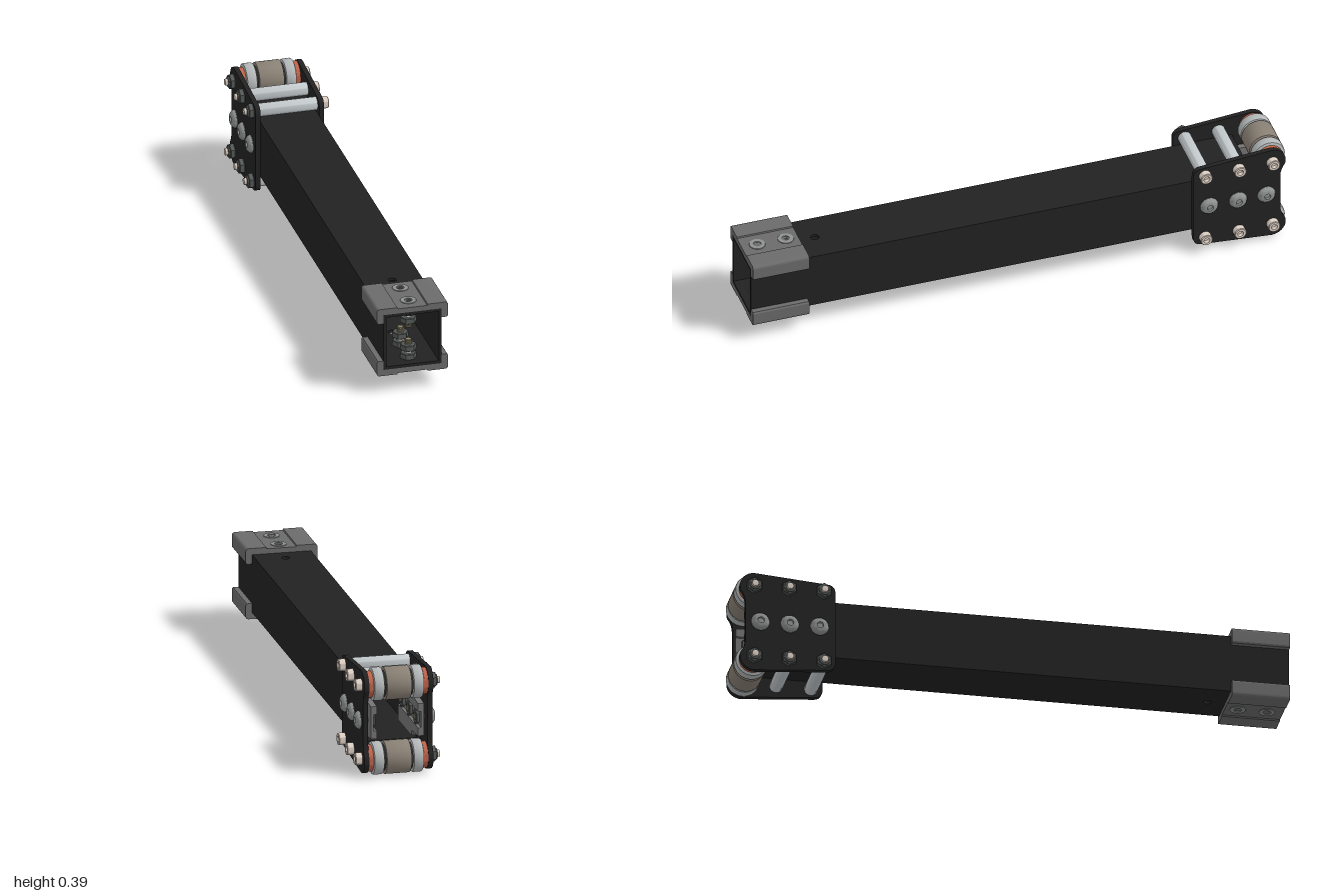
import * as THREE from 'three';
import { toCreasedNormals } from 'three/addons/utils/BufferGeometryUtils.js';

const mat = (color, side = THREE.FrontSide) => new THREE.MeshStandardMaterial({ color, side });
const M = {
  black: mat(0x222222), cap: mat(0x6b6b6b), bracket: mat(0x747474), nut: mat(0x555a58),
  steel: mat(0x8e9290), bolt: mat(0xddd0c4), spacer: mat(0xc4cacd), bearing: mat(0xb4b8b9),
  roller: mat(0x8a8175), washer: mat(0xc0634a), thread: mat(0x8a8468), dark: mat(0x303030),
};

function add(parent, name, geo, material, x = 0, y = 0, z = 0) {
  const m = new THREE.Mesh(geo, material);
  m.name = name;
  m.position.set(x, y, z);
  parent.add(m);
  return m;
}

// Lathe with sharp edges kept, spun around y
const lathe = (pts, seg = 32) =>
  toCreasedNormals(new THREE.LatheGeometry(pts.map(p => new THREE.Vector2(...p)), seg), 0.6);
const alongX = g => g.rotateZ(-Math.PI / 2);

// Closed cylinder with small rounded edges, centred on y = 0
const drum = (r, h, e = 0.004) => lathe([[0, -h / 2], [r - e, -h / 2], [r - e * 0.3, -h / 2 + e * 0.3],
  [r, -h / 2 + e], [r, h / 2 - e], [r - e * 0.3, h / 2 - e * 0.3], [r - e, h / 2], [0, h / 2]]);

// Bolt head with a socket recess, base on y = 0
const socketHead = (r, h) => lathe([[0, 0], [r, 0], [r, h * 0.9], [r - h * 0.1, h],
  [r * 0.5, h], [r * 0.5, h * 0.4], [0, h * 0.4]]);
const buttonHead = (r, h) => lathe([[0, 0], [r, 0], [r, h * 0.12], [r * 0.93, h * 0.45], [r * 0.78, h * 0.78],
  [r * 0.58, h], [r * 0.35, h], [r * 0.35, h * 0.4], [0, h * 0.4]]);

// Hexagonal nut with a bore, centred on y = 0
function nutGeo(r, h, bore) {
  const s = new THREE.Shape();
  for (let i = 0; i < 6; i++) {
    const a = i * Math.PI / 3;
    s[i ? 'lineTo' : 'moveTo'](r * Math.cos(a), r * Math.sin(a));
  }
  s.closePath();
  s.holes.push(new THREE.Path().absarc(0, 0, bore, 0, Math.PI * 2, true));
  return new THREE.ExtrudeGeometry(s, { depth: h - 0.004, bevelEnabled: true, bevelThickness: 0.002,
    bevelSize: 0.002, bevelOffset: -0.002, bevelSegments: 1, curveSegments: 10 })
    .translate(0, 0, -(h - 0.004) / 2).rotateX(-Math.PI / 2);
}

// Ridged thread, centred on y = 0
function threadGeo(r, h) {
  const n = Math.round(h / 0.006), pts = [[0, -h / 2]];
  for (let i = 0; i <= n; i++) {
    pts.push([r * 0.85, -h / 2 + h * i / n]);
    if (i < n) pts.push([r, -h / 2 + h * (i + 0.5) / n]);
  }
  pts.push([0, h / 2]);
  return lathe(pts, 20);
}

// Outline drawn with u = -z; extruded thickness ends up along x
const sideExtrude = (s, t) => new THREE.ExtrudeGeometry(s, { depth: t, bevelEnabled: false, curveSegments: 16 })
  .translate(0, 0, -t / 2).rotateY(Math.PI / 2);

const H = 0.1075, WALL = 0.011, BOLT_Y = 0.137, TUBE_BACK = 0.865;

function squareTube() {
  const g = new THREE.Group();
  g.name = 'squareTube';
  const len = 1 + TUBE_BACK, midZ = (1 - TUBE_BACK) / 2;
  for (const s of [1, -1]) {
    add(g, 'tubeSideWall', new THREE.BoxGeometry(WALL, 2 * H, len), M.black, s * (H - WALL / 2), 0, midZ);
    const wall = new THREE.Shape([[-H + WALL, -1], [H - WALL, -1], [H - WALL, TUBE_BACK], [-H + WALL, TUBE_BACK]]
      .map(p => new THREE.Vector2(...p)));
    wall.holes.push(new THREE.Path().absarc(0, -0.727, 0.015, 0, Math.PI * 2, true));
    const geo = new THREE.ExtrudeGeometry(wall, { depth: WALL, bevelEnabled: false, curveSegments: 16 })
      .translate(0, 0, -WALL / 2).rotateX(-Math.PI / 2);
    add(g, 'tubeDrilledWall', geo, M.black, 0, s * (H - WALL / 2), 0);
  }
  return g;
}

// Channel-shaped clamp over the front end, with its two countersunk bolts
function endClamp() {
  const g = new THREE.Group();
  g.name = 'endClamp';
  const W = 0.131, T = 0.131, B = 0.073, r = 0.012;
  const s = new THREE.Shape();
  s.moveTo(-W + 0.004, B);
  s.lineTo(-H, B); s.lineTo(-H, H); s.lineTo(H, H); s.lineTo(H, B); s.lineTo(W - 0.004, B);
  s.lineTo(W, B + 0.006); s.lineTo(W, T - r); s.quadraticCurveTo(W, T, W - r, T);
  s.lineTo(0.056, T); s.lineTo(0.054, T - 0.005); s.lineTo(-0.054, T - 0.005); s.lineTo(-0.056, T);
  s.lineTo(-W + r, T); s.quadraticCurveTo(-W, T, -W, T - r); s.lineTo(-W, B + 0.006);
  s.closePath();
  add(g, 'clampChannel', toCreasedNormals(new THREE.ExtrudeGeometry(s, { depth: 0.21, bevelEnabled: false }), 0.5),
    M.cap, 0, 0, 0.79);
  for (const z of [0.836, 0.942]) {
    add(g, 'clampBoltHead', socketHead(0.029, 0.006), M.steel, 0, 0.1225, z);
    add(g, 'clampBoltSocket', drum(0.012, 0.001, 0.0003), M.dark, 0, 0.1255, z);
    add(g, 'clampBoltShank', new THREE.CylinderGeometry(0.0125, 0.0125, 0.064, 20), M.bolt, 0, 0.077, z);
    add(g, 'clampBoltThread', threadGeo(0.0125, 0.022), M.thread, 0, 0.035, z);
    add(g, 'clampInnerNut', nutGeo(0.03, 0.022, 0.0115), M.nut, 0, 0.087, z);
    add(g, 'clampOuterNut', nutGeo(0.03, 0.022, 0.0115), M.nut, 0, 0.054, z);
  }
  return g;
}

// Side plate with rounded lobes around the rollers
function plateShape() {
  const s = new THREE.Shape(), c = 0.938, r = 0.052, a = 1.62, b = -0.35;
  s.moveTo(0.645, -0.135);
  s.lineTo(0.645, 0.135);
  s.quadraticCurveTo(0.645, 0.166, 0.676, 0.168);
  s.absarc(c, BOLT_Y, r, a, b, true);
  s.quadraticCurveTo(0.971, 0.098, 0.97, 0.07);
  s.lineTo(0.97, -0.07);
  s.quadraticCurveTo(0.971, -0.098, c + r * Math.cos(b), -BOLT_Y - r * Math.sin(-b) * -1);
  s.absarc(c, -BOLT_Y, r, -b, -a, true);
  s.lineTo(0.676, -0.168);
  s.quadraticCurveTo(0.645, -0.166, 0.645, -0.135);
  return s;
}

// Bracket rail lining the tube, stepped down where it passes the rollers
const railShape = s => new THREE.Shape([[0.66, 0.03], [0.965, 0.03], [0.965, 0.06], [0.875, 0.066], [0.86, 0.088], [0.66, 0.088]]
  .map(([u, y]) => new THREE.Vector2(u, y * s)));

function sideAssembly(side) {
  const g = new THREE.Group();
  g.name = side > 0 ? 'leftSide' : 'rightSide';
  add(g, 'sidePlate', toCreasedNormals(sideExtrude(plateShape(), 0.018), 0.5), M.black, side * 0.117);
  add(g, 'bracketWeb', new THREE.BoxGeometry(0.01, 0.07, 0.305), M.bracket, side * 0.092, 0, -0.8125);
  for (const s of [1, -1])
    add(g, 'bracketRail', sideExtrude(railShape(s), 0.022), M.bracket, side * 0.086);
  for (const z of [-0.703, -0.811, -0.917]) {
    const b = new THREE.Group();
    b.name = 'plateBolt';
    b.position.z = z;
    if (side < 0) b.rotation.y = Math.PI;
    add(b, 'boltWasher', alongX(drum(0.034, 0.003, 0.001)), M.nut, 0.1275);
    add(b, 'buttonHead', alongX(buttonHead(0.033, 0.017)), M.steel, 0.128);
    add(b, 'plateNut', alongX(nutGeo(0.03, 0.014, 0.012)), M.nut, 0.081);
    add(b, 'plateBoltThread', alongX(threadGeo(0.0125, 0.04)), M.thread, 0.093);
    g.add(b);
  }
  return g;
}

// Through bolt with socket head on the left and nut on the right
function crossBolt(z, y) {
  const g = new THREE.Group();
  g.name = 'crossBolt';
  g.position.set(0, y, z);
  add(g, 'boltShaft', alongX(drum(0.0125, 0.286, 0.002)), M.bolt, -0.0165);
  add(g, 'socketHead', alongX(socketHead(0.022, 0.025)), M.bolt, 0.126);
  add(g, 'lockNut', alongX(nutGeo(0.029, 0.018, 0.0115)), M.nut, -0.135);
  add(g, 'nutCollar', alongX(drum(0.02, 0.006, 0.002)), M.nut, -0.1465);
  return g;
}

function roller() {
  const g = new THREE.Group();
  g.name = 'roller';
  add(g, 'rollerCore', alongX(drum(0.048, 0.18, 0.001)), M.dark);
  add(g, 'rollerSleeve', alongX(drum(0.06, 0.091, 0.002)), M.roller);
  for (const s of [1, -1]) {
    add(g, 'rollerBearing', alongX(drum(0.06, 0.038, 0.006)), M.bearing, s * 0.072);
    add(g, 'rollerWasher', alongX(drum(0.048, 0.017, 0.001)), M.washer, s * 0.0995);
  }
  return g;
}

export function createModel() {
  const model = new THREE.Group();
  model.name = 'rollerArm';
  const body = new THREE.Group();
  body.name = 'armBody';
  body.position.set(0.004, 0.1975, 0);
  model.add(body);

  body.add(squareTube());
  const top = endClamp(), bottom = endClamp();
  bottom.rotation.z = Math.PI;
  body.add(top, bottom, sideAssembly(1), sideAssembly(-1));

  for (const s of [1, -1]) {
    for (const z of [-0.688, -0.814]) {
      body.add(crossBolt(z, s * BOLT_Y));
      add(body, 'spacer', alongX(drum(0.024, 0.216, 0.001)), M.spacer, 0, s * BOLT_Y, z);
    }
    body.add(crossBolt(-0.94, s * BOLT_Y));
    const r = roller();
    r.position.set(0, s * BOLT_Y, -0.94);
    body.add(r);
  }
  return model;
}
